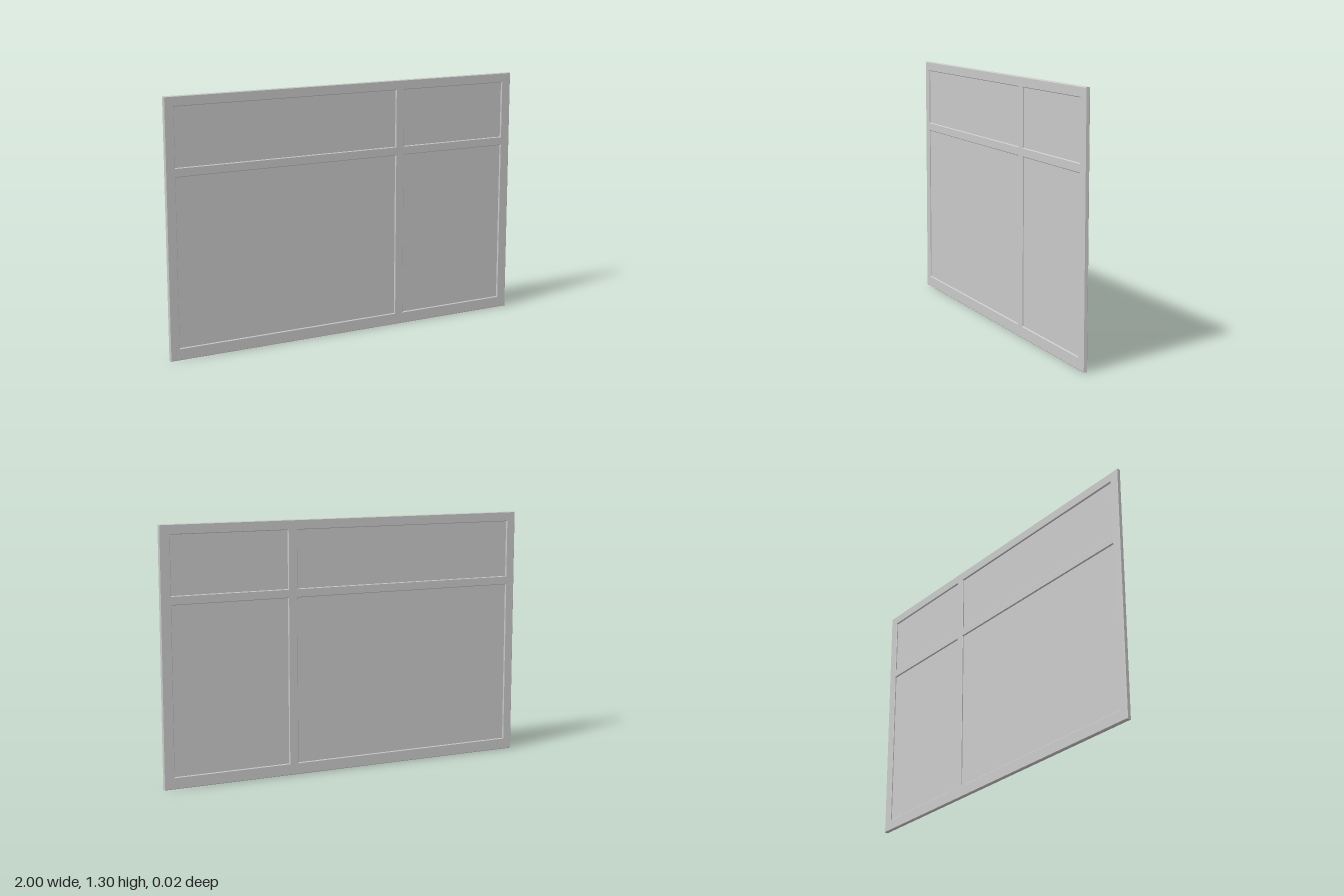
import * as THREE from 'three';

const HEIGHT = 1.3, DEPTH = 0.022, BEVEL = 0.003;
// Pane openings: column and row extents
const COLUMNS = [[-0.95, 0.28], [0.33, 0.945]];
const ROWS = [[0.06, 0.91], [0.955, 1.25]];

function rectangle(PathType, x0, x1, y0, y1) {
  return new PathType([[x0, y0], [x1, y0], [x1, y1], [x0, y1]].map(([x, y]) => new THREE.Vector2(x, y)));
}

export function createModel() {
  const model = new THREE.Group();
  model.name = 'windowPanel';
  const material = new THREE.MeshStandardMaterial({ color: 0xcccccc, flatShading: true });

  const outline = rectangle(THREE.Shape, -1, 1, 0, HEIGHT);
  for (const [x0, x1] of COLUMNS) {
    for (const [y0, y1] of ROWS) {
      outline.holes.push(rectangle(THREE.Path, x0, x1, y0, y1));

      // Thin pane set midway in the frame, tucked slightly into its edges
      const pane = new THREE.Mesh(
        new THREE.BoxGeometry(x1 - x0 + 0.008, y1 - y0 + 0.008, 0.006), material);
      pane.position.set((x0 + x1) / 2, (y0 + y1) / 2, 0);
      pane.name = 'pane';
      model.add(pane);
    }
  }

  // Frame with crossbars and finely chamfered edges
  const geometry = new THREE.ExtrudeGeometry(outline, {
    depth: DEPTH - 2 * BEVEL,
    bevelThickness: BEVEL, bevelSize: BEVEL, bevelOffset: -BEVEL, bevelSegments: 1,
  });
  geometry.translate(0, 0, BEVEL - DEPTH / 2);
  const frame = new THREE.Mesh(geometry, material);
  frame.name = 'frame';
  model.add(frame);

  return model;
}
